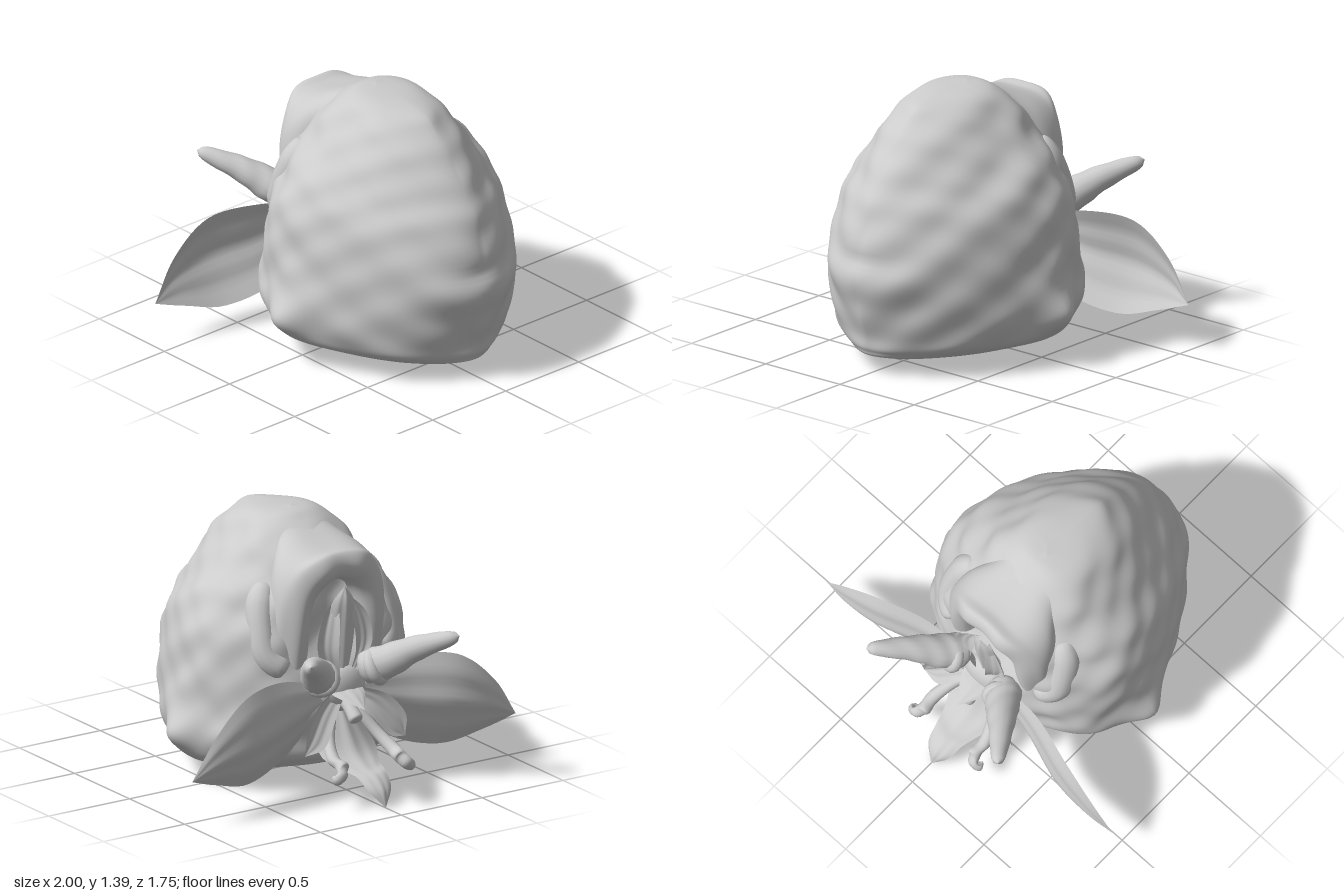
import * as THREE from 'three';

const mat = new THREE.MeshStandardMaterial({ color: 0xcccccc, side: THREE.DoubleSide });
const V = (x, y, z) => new THREE.Vector3(x, y, z);
const spline = pts => new THREE.CatmullRomCurve3(pts.map(p => V(...p)), false, 'catmullrom');
const bump = (d, r) => Math.exp(-(d * d) / (r * r));

// Smooth surface from a rows x cols grid; wrapped grids share their seam.
function surface(name, rows, cols, wrap, point) {
  const pos = [], idx = [];
  for (let i = 0; i <= rows; i++)
    for (let j = 0; j < cols; j++) pos.push(...point(i / rows, j / (wrap ? cols : cols - 1)).toArray());
  for (let i = 0; i < rows; i++)
    for (let j = 0; j < (wrap ? cols : cols - 1); j++) {
      const a = i * cols + j, b = i * cols + (j + 1) % cols, c = a + cols, d = b + cols;
      idx.push(a, c, b, b, c, d);
    }
  const g = new THREE.BufferGeometry();
  g.setAttribute('position', new THREE.Float32BufferAttribute(pos, 3));
  g.setIndex(idx);
  g.computeVertexNormals();
  const m = new THREE.Mesh(g, mat);
  m.name = name;
  return m;
}

// Curved blade: path points are [x, y, z], widths are half widths along it.
function petal(name, path, widths, side, cup, s = 1) {
  const c = spline(path), w = spline(widths.map(v => [v, 0, 0])), across = V(...side).normalize();
  return surface(name, 24, 17, false, (u, v) => {
    const k = v * 2 - 1, p = c.getPoint(u), h = Math.max(0, w.getPoint(u).x);
    p.addScaledVector(across, k * h);
    p.z += cup * h * (k * k - 0.3 * bump(k, 0.2) - 0.12 * bump(Math.abs(k) - 0.6, 0.15));
    p.x *= s;
    return p;
  });
}

// Round tapering stem with closed, rounded ends.
function stem(name, path, radii, s = 1, rough = 0) {
  const c = spline(path.map(([x, y, z]) => [x * s, y, z])), r = spline(radii.map(v => [v, 0, 0]));
  const n = 32, f = c.computeFrenetFrames(n);
  return surface(name, n, 14, true, (u, v) => {
    const i = Math.round(u * n), a = -v * Math.PI * 2;
    const end = Math.sqrt(Math.max(0, 1 - Math.pow(Math.abs(2 * u - 1), 14)));
    const h = r.getPoint(u).x * end * (1 + rough * Math.sin(u * 30 + 3 * Math.sin(a)));
    return c.getPoint(u).addScaledVector(f.normals[i], h * Math.cos(a)).addScaledVector(f.binormals[i], h * Math.sin(a));
  });
}

// Irregular dents and swellings, mirrored left to right.
const lumps = (x, y, z) => Math.sin(8 * x + 3 * z + 1) * Math.sin(9 * y - 2 * x) * Math.sin(8 * z + 4 * y)
  + 0.6 * Math.sin(15 * x - 7 * y + 2) * Math.sin(14 * y + 9 * z) + 0.35 * Math.sin(23 * z + 11 * x) * Math.sin(25 * y + 1);

function boulder() {
  // Level outlines: height, half width, front z, back z
  const levels = [
    [0.09, 0, 0.1, 0.1], [0.085, 0.38, 0.68, -0.33], [0.13, 0.55, 0.78, -0.42], [0.22, 0.61, 0.815, -0.46],
    [0.38, 0.63, 0.85, -0.47], [0.6, 0.62, 0.86, -0.46], [0.85, 0.59, 0.785, -0.43], [1.0, 0.5, 0.7, -0.4],
    [1.19, 0.345, 0.565, -0.3], [1.3, 0.255, 0.46, -0.2], [1.36, 0.185, 0.36, -0.11], [1.39, 0.11, 0.17, -0.06],
    [1.4, 0, 0, 0]];
  const a = spline(levels.map(l => [l[0], l[1], l[2]])), b = spline(levels.map(l => [l[0], l[3], 0]));
  return surface('boulderBody', 100, 136, true, (u, v) => {
    const A = a.getPoint(u), B = b.getPoint(u), t = v * Math.PI * 2;
    const cs = Math.cos(t), sn = Math.sin(t), front = sn > 0;
    const mid = THREE.MathUtils.clamp(0.04, B.y, A.z), e = 2 / (front ? 1.72 : 2.2);
    let x = Math.sign(cs) * A.y * Math.pow(Math.abs(cs), e), y = A.x;
    let z = mid + ((front ? A.z : B.y) - mid) * Math.pow(Math.abs(sn), e);
    const n = lumps(Math.abs(x), y, z) * Math.min(1, A.y / 0.3);
    x += cs * 0.018 * n;
    z += sn * 0.018 * n;
    y += 0.008 * n;
    // side knobs, round swellings behind them, nose and its crease
    x += cs * (0.1 * bump(y - 0.29, 0.13) * bump(z - 0.04, 0.15) + 0.025 * bump(y - 0.42, 0.12) * bump(z + 0.27, 0.12));
    if (front) z += (0.02 * bump(y - 0.5, 0.1) - 0.02 * bump(y - 0.63, 0.04)) * bump(x, 0.13);
    // hollow behind the flower and raised underside at the back
    if (!front) z += 0.12 * bump(x, 0.17) * bump(y - 0.86, 0.2);
    if (y < 0.5) y += 0.05 * THREE.MathUtils.smoothstep(-z, -0.1, 0.45) * (1 - y / 0.5);
    return V(x, y, z);
  });
}

// Hood: draped over the top of the back, its rim turned in to form an arch.
function hood() {
  const crest = spline([[0, 1.38, 0.01], [0, 1.375, -0.06], [0, 1.335, -0.16], [0, 1.29, -0.28], [0, 1.265, -0.38],
    [0, 1.27, -0.455], [0, 1.2, -0.485], [0, 1.13, -0.45], [0, 1.1, -0.36]]);
  // half width, side drop and forward lean of the lower edges
  const shape = spline([[0.17, 0.09, 0], [0.2, 0.13, 0], [0.23, 0.22, 0.02], [0.31, 0.3, 0.03], [0.33, 0.4, 0.04],
    [0.3, 0.52, 0.07], [0.25, 0.56, 0.07], [0.19, 0.5, 0.05], [0.15, 0.45, 0]]);
  return surface('hood', 64, 49, false, (u, v) => {
    const k = 1 - v * 2, p = crest.getPoint(u), s = shape.getPoint(u), q = Math.abs(k);
    p.x = Math.sign(k) * s.x * Math.pow(Math.sin(q * Math.PI / 2), 0.95);
    p.y -= s.y * Math.pow(q, 2.6);
    p.z += s.z * q * q + 0.01 * Math.cos(q * 11) * u;
    return p;
  });
}

export function createModel() {
  const g = new THREE.Group();
  g.name = 'boulderWithFlower';
  g.add(boulder(), hood());

  for (const s of [1, -1]) {
    const side = s > 0 ? 'left' : 'right';
    // Low folds sunk into the rock beside the hollow
    g.add(stem(side + 'OuterFold', [[0.29, 1.1, -0.2], [0.34, 1.0, -0.22], [0.37, 0.87, -0.27], [0.36, 0.74, -0.31], [0.28, 0.66, -0.38]],
      [0.05, 0.08, 0.075, 0.08, 0.07], s));
    // Broad side leaf
    g.add(petal(side + 'Leaf', [[0.1, 0.5, -0.46], [0.35, 0.43, -0.5], [0.62, 0.385, -0.58], [0.84, 0.33, -0.595], [1, 0.25, -0.57]],
      [0.07, 0.22, 0.25, 0.14, 0], [0.12, 1, -0.15], 0.25, s));
    // Horn with a swollen collar
    g.add(stem(side + 'Horn', [[0.13, 0.62, -0.44], [0.21, 0.67, -0.55], [0.32, 0.76, -0.68], [0.46, 0.845, -0.855]], [0.09, 0.09, 0.065, 0.034], s, 0.025));
    const collar = new THREE.Mesh(new THREE.TorusGeometry(0.065, 0.035, 10, 24), mat);
    collar.name = side + 'HornCollar';
    collar.position.set(s * 0.17, 0.64, -0.52);
    collar.lookAt(s * 0.3, 0.74, -0.68);
    g.add(collar);
    // Curled stamens and small petals
    g.add(stem(side + 'Stamen', [[0.06, 0.46, -0.46], [0.14, 0.32, -0.55], [0.18, 0.24, -0.65], [0.175, 0.22, -0.72], [0.205, 0.18, -0.755], [0.245, 0.155, -0.735]],
      [0.03, 0.03, 0.035, 0.036, 0.034, 0.03], s));
    g.add(petal(side + 'SmallPetal', [[0.05, 0.52, -0.48], [0.16, 0.45, -0.53], [0.25, 0.34, -0.57], [0.31, 0.26, -0.58]],
      [0.04, 0.07, 0.07, 0], [0.7, 0.7, 0], -0.4, s));
    g.add(petal(side + 'UpperPetal', [[0.05, 0.6, -0.46], [0.11, 0.76, -0.47], [0.09, 0.92, -0.47], [0.03, 1.05, -0.46]],
      [0.03, 0.06, 0.05, 0], [1, 0.2, 0.2], -0.5, s));
  }

  // Middle petals and flower heart
  g.add(petal('uprightPetal', [[0, 0.58, -0.46], [0, 0.8, -0.48], [0, 1.0, -0.5], [0, 1.1, -0.49]], [0.04, 0.09, 0.07, 0], [1, 0, 0], 0.5));
  g.add(petal('hangingPetal', [[0, 0.42, -0.46], [0, 0.24, -0.56], [0, 0.17, -0.67], [0, 0.15, -0.76], [0, 0.09, -0.83], [0, 0.005, -0.86]],
    [0.07, 0.17, 0.12, 0.09, 0.07, 0], [1, 0, 0], 0.35));
  g.add(petal('lip', [[0, 0.56, -0.48], [0, 0.53, -0.57], [0, 0.48, -0.67]], [0.1, 0.09, 0], [1, 0, 0], 0.4));
  g.add(stem('pistil', [[0, 0.52, -0.44], [0, 0.46, -0.53], [0, 0.4, -0.6]], [0.045, 0.035, 0.04]));
  const heart = new THREE.Mesh(new THREE.SphereGeometry(0.12, 24, 16), mat);
  heart.name = 'flowerHeart';
  heart.position.set(0, 0.54, -0.45);
  heart.scale.set(1.2, 1, 0.6);
  g.add(heart);
  return g;
}
